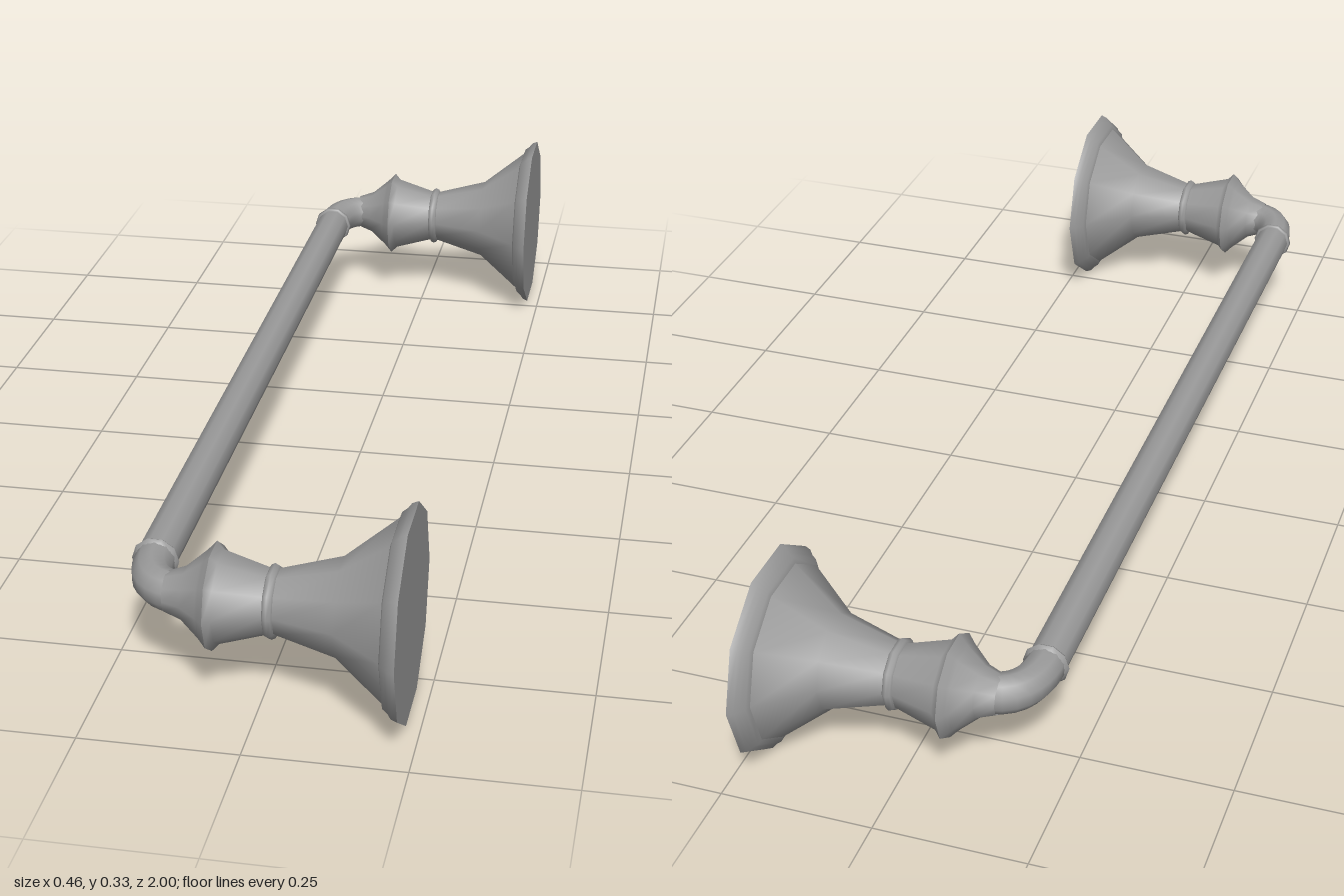
import * as THREE from 'three';

const SIDES = 10;
const AXIS_Y = 0.163;   // height of the bar and post axes
const POST_Z = 0.83;    // distance of each post from the centre
const BAR_X = -0.191;
const BAR_END = 0.737;

const material = new THREE.MeshStandardMaterial({ color: 0x9b9b9b, side: THREE.DoubleSide });

function addPart(parent, name, geometry) {
  const mesh = new THREE.Mesh(geometry, material);
  mesh.name = name;
  parent.add(mesh);
}

// Turned post sections, smooth in themselves with sharp edges between them:
// [position along x, radius] from the neck to the wall
const POST_SECTIONS = {
  neck: [[-0.15, 0.032], [-0.12, 0.043], [-0.09, 0.069], [-0.085, 0.074], [-0.075, 0.085]],
  shoulder: [[-0.075, 0.085], [-0.064, 0.073], [0.008, 0.052]],
  ring: [[0.008, 0.052], [0.010, 0.056], [0.016, 0.059], [0.022, 0.056], [0.024, 0.052]],
  bell: [[0.024, 0.052], [0.12, 0.079], [0.2, 0.144]],
  flange: [[0.2, 0.144], [0.203, 0.153], [0.211, 0.159], [0.217, 0.167], [0.227, 0.171]],
  wallFace: [[0.227, 0.171], [0.227, 0]],
};

// Thin raised ring where the bar meets the elbow: [position along z, radius]
const COLLAR_PROFILE = [[-0.004, 0.032], [-0.003, 0.036], [0.001, 0.038], [0.006, 0.032]];

const lathe = (profile) =>
  new THREE.LatheGeometry(profile.map(([d, r]) => new THREE.Vector2(r, d)), SIDES);

// Turns a geometry made along y to lie along the bar
const alongBar = (geometry) => geometry.rotateY(Math.PI / 2).rotateX(Math.PI / 2);

function createEnd(name) {
  const end = new THREE.Group();
  end.name = name;

  // Post, turned so that its axis runs along x
  for (const [part, profile] of Object.entries(POST_SECTIONS)) {
    addPart(end, part, lathe(profile).rotateZ(-Math.PI / 2).translate(0, 0, POST_Z));
  }

  // Elbow bending from the bar into the post
  const path = new THREE.CubicBezierCurve3(
    new THREE.Vector3(BAR_X, 0, BAR_END),
    new THREE.Vector3(BAR_X, 0, 0.78),
    new THREE.Vector3(-0.178, 0, 0.822),
    new THREE.Vector3(-0.135, 0, POST_Z - 0.002),
  );
  addPart(end, 'elbow', new THREE.TubeGeometry(path, 8, 0.0325, SIDES));

  // Collar, with its axis along z
  addPart(end, 'collar', alongBar(lathe(COLLAR_PROFILE)).translate(BAR_X, 0, BAR_END));
  return end;
}

export function createModel() {
  const model = new THREE.Group();
  model.name = 'barHandle';

  // Long straight bar
  const bar = new THREE.CylinderGeometry(0.0325, 0.0325, BAR_END * 2, SIDES);
  addPart(model, 'bar', alongBar(bar).translate(BAR_X, 0, 0));

  // Matching ends, the second turned half round about x
  const frontEnd = createEnd('frontEnd');
  const backEnd = createEnd('backEnd');
  backEnd.rotation.x = Math.PI;
  model.add(frontEnd, backEnd);

  model.position.y = AXIS_Y;
  const root = new THREE.Group();
  root.name = 'model';
  root.add(model);
  return root;
}
